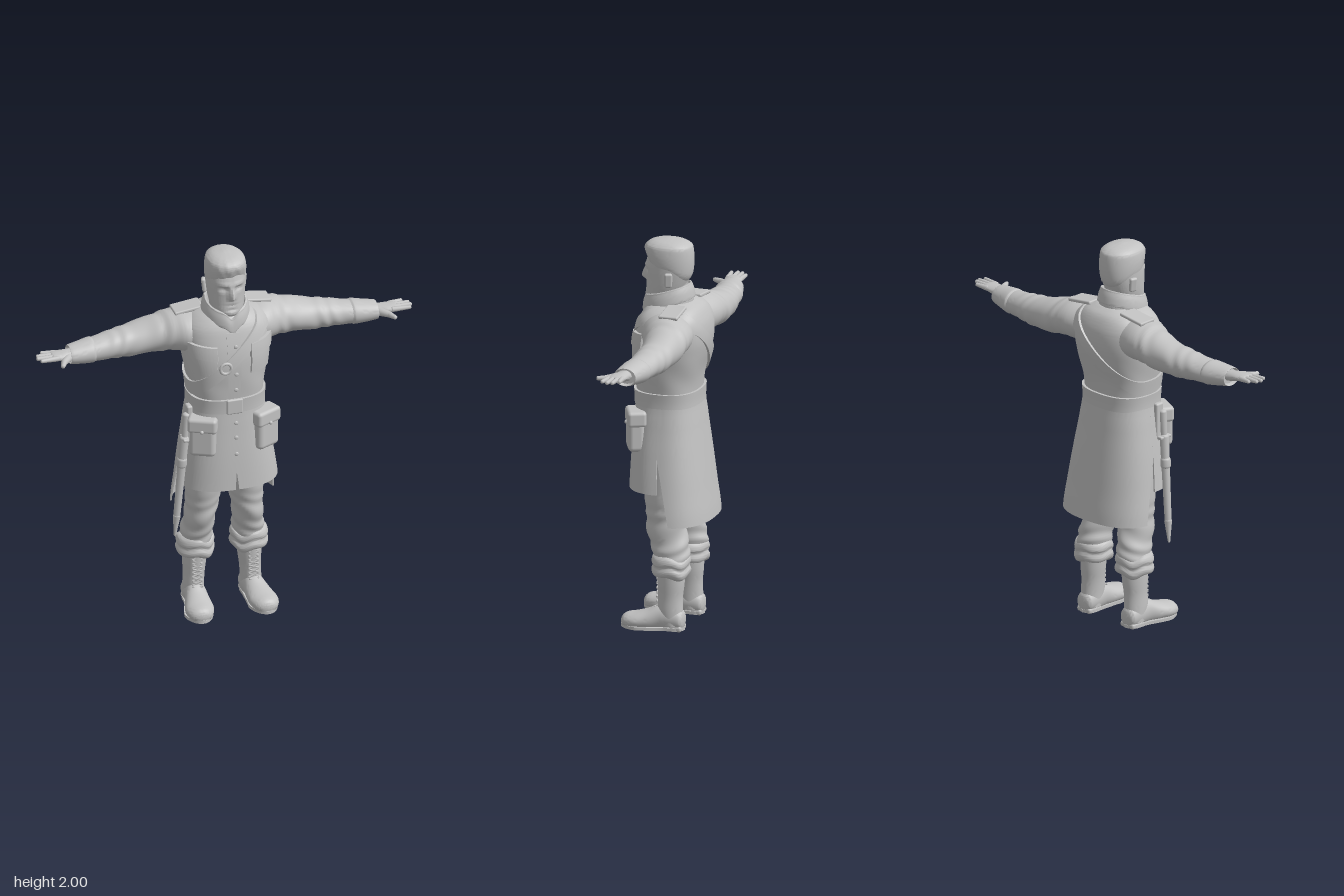
import * as THREE from 'three';
import { mergeVertices, toCreasedNormals } from 'three/addons/utils/BufferGeometryUtils.js';
import { RoundedBoxGeometry } from 'three/addons/geometries/RoundedBoxGeometry.js';

const V = (x, y, z) => new THREE.Vector3(x, y, z);
const pw = (c, p) => Math.sign(c) * Math.pow(Math.abs(c), p);
const bump = (d, w) => Math.exp(-(d / w) * (d / w));
const step = THREE.MathUtils.smoothstep;
const TAU = Math.PI * 2;

// Surface from a grid of points, welded, with sharp edges kept
function grid(nu, nv, fn, crease = 0.8) {
  const pos = [], idx = [];
  for (let j = 0; j <= nv; j++) for (let i = 0; i <= nu; i++) pos.push(...fn(i / nu, j, i).toArray());
  for (let j = 0; j < nv; j++) for (let i = 0; i < nu; i++) {
    const a = j * (nu + 1) + i, b = a + 1, c = a + nu + 1, d = c + 1;
    idx.push(a, b, d, a, d, c);
  }
  const g = new THREE.BufferGeometry();
  g.setAttribute('position', new THREE.Float32BufferAttribute(pos, 3));
  g.setIndex(idx);
  return toCreasedNormals(mergeVertices(g, 1e-5), crease);
}

// Smooth interpolation between cross-section rows
function rowAt(rows, s) {
  const last = rows.length - 1, i = Math.min(Math.floor(s), last - 1), u = s - i;
  const r = k => rows[Math.min(Math.max(k, 0), last)];
  return rows[0].map((_, k) => {
    const a = r(i - 1)[k], b = r(i)[k], c = r(i + 1)[k], d = r(i + 2)[k];
    return b + 0.5 * u * (c - a + u * (2 * a - 5 * b + 4 * c - d + u * (3 * (b - c) + d - a)));
  });
}

// Solid through rows [t, c1, c2, r1, r2] placed along an axis
function loft(axis, rows, { n = 36, k = 5, p = 1, fold, warp, cap = true } = {}) {
  const m = (rows.length - 1) * k, extra = cap ? 1 : 0;
  return grid(n, m + 2 * extra, (u, j) => {
    const q = j - extra, inside = q >= 0 && q <= m;
    const [t, c1, c2, r1, r2] = rowAt(rows, Math.min(Math.max(q, 0), m) / k);
    const a = u * TAU, f = inside ? (fold ? fold(t, a) : 1) : 0;
    const c = pw(Math.cos(a), p) * f, s = pw(Math.sin(a), p) * f;
    const v = axis === 'y' ? V(c1 + r1 * s, t, c2 + r2 * c)
      : axis === 'x' ? V(t, c1 + r1 * c, c2 + r2 * s) : V(c1 + r1 * c, c2 + r2 * s, t);
    if (warp) warp(v);
    return v;
  });
}

// Row from a height, centre, half width, front and back
const fb = (y, cx, rx, f, b) => [y, cx, (f + b) / 2, rx, (f - b) / 2];
const P = 0.8;

// Point on a body surface; angle 0 is the front, a quarter turn is +x
function surf(rows, a, y, off) {
  let i = 0;
  while (i < rows.length - 2 && y > rows[i + 1][0]) i++;
  const u = THREE.MathUtils.clamp((y - rows[i][0]) / (rows[i + 1][0] - rows[i][0]), 0, 1);
  const [, cx, cz, rx, rz] = rowAt(rows, i + u);
  return V(cx + (rx + off) * pw(Math.sin(a), P), y, cz + (rz + off) * pw(Math.cos(a), P));
}

// Thick cloth patch that follows a body surface
function band(rows, angle, yMid, h, off, { n = 24, m = 5, inner = -0.006, top = 9 } = {}) {
  const section = [];
  for (let j = 0; j <= m; j++) section.push([j / m * 2 - 1, off]);
  for (let j = m; j >= 0; j--) section.push([j / m * 2 - 1, inner]);
  section.push(section[0]);
  const at = typeof angle === 'function' ? angle : u => angle[0] + (angle[1] - angle[0]) * u;
  return grid(n + 2, section.length - 1, (_, j, i) => {
    const u = Math.min(Math.max(i - 1, 0), n) / n;
    const end = i === 0 || i === n + 2;
    const s = section[j], y = Math.min(yMid(u) + s[0] * h, top);
    return surf(rows, at(u, y), y, end ? inner : s[1]);
  }, 0.6);
}

// Round-ended tapered rod between two points
function rod(a, b, ra, rb, n = 12) {
  const len = a.distanceTo(b), pts = [];
  for (let i = 0; i <= 4; i++) pts.push(new THREE.Vector2(ra * Math.sin(i * Math.PI / 8), -ra * 0.7 * Math.cos(i * Math.PI / 8)));
  for (let i = 4; i >= 0; i--) pts.push(new THREE.Vector2(rb * Math.sin(i * Math.PI / 8), len + rb * 0.7 * Math.cos(i * Math.PI / 8)));
  const g = new THREE.LatheGeometry(pts, n);
  g.applyQuaternion(new THREE.Quaternion().setFromUnitVectors(V(0, 1, 0), b.clone().sub(a).normalize()));
  return g.translate(a.x, a.y, a.z);
}
const ball = (x, y, z, sx, sy, sz) => new THREE.SphereGeometry(1, 20, 14).scale(sx, sy, sz).translate(x, y, z);
const block = (w, h, d, x, y, z, ry = 0, rz = 0, r = 0.008) =>
  new RoundedBoxGeometry(w, h, d, 3, r).rotateZ(rz).rotateY(ry).translate(x, y, z);

// Copy reflected in x, with the corner order restored
function mirrored(g) {
  const m = g.index ? g.toNonIndexed() : g.clone();
  m.scale(-1, 1, 1);
  for (const at of Object.values(m.attributes)) {
    const s = at.itemSize, arr = at.array;
    for (let i = 0; i < arr.length; i += 3 * s) for (let k = 0; k < s; k++)
      [arr[i + s + k], arr[i + 2 * s + k]] = [arr[i + 2 * s + k], arr[i + s + k]];
  }
  return m;
}

export function createModel() {
  const model = new THREE.Group();
  const grey = new THREE.MeshStandardMaterial({ color: 0xc2c2c2 });
  grey.name = 'plain grey';
  const add = (name, g) => { const m = new THREE.Mesh(g, grey); m.name = name; model.add(m); };
  const pair = (name, g) => { add(name + 'Left', g); add(name + 'Right', mirrored(g)); };

  // Head with sculpted face
  add('head', loft('y', [fb(1.672, 0, 0.035, 0.12, 0.04), fb(1.685, 0, 0.062, 0.143, 0.0), fb(1.71, 0, 0.08, 0.15, -0.03),
    fb(1.75, 0, 0.09, 0.147, -0.055), fb(1.80, 0, 0.096, 0.146, -0.075), fb(1.85, 0, 0.099, 0.149, -0.09),
    fb(1.90, 0, 0.099, 0.14, -0.095), fb(1.95, 0, 0.09, 0.12, -0.085), fb(1.985, 0, 0.05, 0.07, -0.04)], {
    n: 96, k: 9, p: 0.94, warp: v => {
      if (v.z < 0.06) return;
      const x = Math.abs(v.x), y = v.y;
      v.z -= 0.014 * bump(x - 0.038, 0.022) * bump(y - 1.836, 0.014);
      v.z += 0.03 * bump(x, 0.015) * step(y, 1.768, 1.788) * (1 - step(y, 1.79, 1.87));
      v.z -= 0.006 * bump(y - 1.743, 0.005) * bump(x, 0.03);
      v.z += 0.005 * bump(x, 0.03) * bump(y - 1.70, 0.015) - 0.006 * bump(y - 1.722, 0.008) * bump(x, 0.03);
      v.z += 0.006 * bump(y - 1.862, 0.012) * bump(x - 0.035, 0.035);
    } }));
  add('neck', loft('y', [[1.6, 0, 0, 0.085, 0.085], [1.7, 0, 0.015, 0.075, 0.078], [1.8, 0, 0.0, 0.07, 0.07]]));
  // Short hair swept up at the front, low at the nape
  add('hair', loft('y', [fb(1.9, 0, 0.096, 0.136, -0.066), fb(1.918, 0, 0.102, 0.146, -0.09), fb(1.945, 0, 0.102, 0.154, -0.097),
    fb(1.97, 0, 0.092, 0.145, -0.086), fb(1.99, 0, 0.062, 0.108, -0.05), fb(2.0, 0, 0.012, 0.045, 0.01)], {
    n: 72, k: 7, p: 0.95,
    fold: (y, a) => 1 + 0.012 * Math.sin(a * 14 + y * 60) * Math.max(0, Math.cos(a)),
    warp: v => {
      const low = THREE.MathUtils.clamp((1.965 - v.y) / 0.065, 0, 1);
      v.y += low * (0.012 * bump(v.x - 0.04, 0.03) * step(v.z, 0.08, 0.12) - 0.55 * (0.15 - v.z) * (1 - 0.25 * bump(v.z - 0.01, 0.05)));
    } }));
  pair('ear', block(0.022, 0.075, 0.04, 0.102, 1.808, 0.0, 0.35, -0.12, 0.01));
  pair('eye', ball(0.038, 1.836, 0.117, 0.014, 0.007, 0.011));

  // Coat body
  const torso = [fb(1.13, 0, 0.185, 0.178, -0.13), fb(1.2, 0, 0.185, 0.18, -0.13), fb(1.3, 0, 0.196, 0.188, -0.14),
    fb(1.42, 0, 0.213, 0.195, -0.17), fb(1.5, 0, 0.222, 0.188, -0.183), fb(1.57, 0, 0.222, 0.172, -0.18),
    fb(1.62, 0, 0.205, 0.155, -0.165), fb(1.66, 0, 0.16, 0.13, -0.14), fb(1.685, 0, 0.1, 0.1, -0.1)];
  add('coatBody', loft('y', torso, { n: 64, k: 7, p: P, fold: (y, a) => 1 + 0.01 * Math.sin(5 * a + y * 24) * bump(y - 1.33, 0.09) }));

  // Coat skirt: two front panels and a longer back panel, parted by slits
  const skirt = [fb(0.57, 0.012, 0.268, 0.205, -0.21), fb(0.73, 0.01, 0.25, 0.2, -0.19), fb(0.9, 0.005, 0.228, 0.194, -0.168),
    fb(1.1, 0, 0.199, 0.183, -0.142), fb(1.2, 0, 0.186, 0.178, -0.13)];
  const cloth = { n: 40, m: 18, inner: 0 };
  const drop = (y, from, low) => Math.max(0, (from - y) / (from - low));
  const side = Math.PI / 2;
  for (const s of [0, 1]) add(s ? 'skirtFrontRight' : 'skirtFrontLeft', band(skirt, (u, y) => {
    const slit = 0.016 * drop(y, 0.82, 0.73);
    return s ? -side + (side - slit) * u : slit + (side - slit) * u;
  }, () => 0.962, 0.232, 0.008, cloth));
  add('skirtBack', band(skirt, (u, y) => {
    const g = 0.2 * drop(y, 0.9, 0.57);
    return side + g + (Math.PI - 2 * g) * u;
  }, () => 0.882, 0.312, 0.008, { ...cloth, n: 56 }));

  // Belt, buckle, placket and buttons
  add('belt', band(torso, [0, TAU], () => 1.197, 0.038, 0.013, { n: 72 }));
  add('beltBuckle', block(0.085, 0.082, 0.016, 0, 1.197, 0.193));
  add('placket', band(torso, [-0.1, 0.1], () => 1.42, 0.18, 0.005, { n: 6, m: 14 }));
  [1.53, 1.38, 1.29].forEach(y => add('coatButton', ball(0.008, y, surf(torso, 0, y, 0.006).z, 0.011, 0.011, 0.005)));
  [1.1, 1.02, 0.93].forEach(y => add('skirtButton', ball(0.008, y, surf(skirt, 0, y, 0.009).z, 0.011, 0.011, 0.005)));

  // Shoulder strap looping from the left shoulder to the right hip
  const strapY = u => {
    let y = 1.46;
    for (let i = 0; i < 30; i++) y += 0.4 * (1.46 + 0.944 * surf(torso, u * TAU, y, 0).x - y);
    return y;
  };
  add('shoulderStrap', band(torso, [0, TAU], strapY, 0.038, 0.011, { n: 96, top: 1.682 }));
  add('strapBuckle', new THREE.TorusGeometry(0.028, 0.008, 8, 24).translate(-0.05, 1.425, 0.207));

  // Chest pockets and flaps
  pair('chestPocket', band(torso, [0.33, 1.1], () => 1.445, 0.07, 0.009));
  pair('chestFlap', band(torso, [0.3, 1.12], u => 1.5 + 0.014 * u, 0.035, 0.015));
  pair('pocketButton', ball(0.143, 1.487, surf(torso, 0.7, 1.487, 0.014).z, 0.009, 0.009, 0.008));

  // Belt pouches
  for (const [name, x, turn] of [['Left', 0.168, 0.45], ['Right', -0.152, -0.45]]) {
    add('pouch' + name, block(0.135, 0.18, 0.085, x, 1.02, 0.15, turn, 0, 0.025));
    add('pouchFlap' + name, block(0.15, 0.08, 0.096, x, 1.102, 0.148, turn, 0, 0.018));
    add('pouchStud' + name, ball(x + 0.02 * Math.sign(x), 1.075, 0.192, 0.01, 0.01, 0.01));
  }

  // Collar, higher at the back, with a turned-down layer
  const tilt = v => { v.y -= 0.3 * (v.z - 0.03) + (v.z > 0.05 ? 0.035 * bump(v.x, 0.025) : 0); };
  add('collar', loft('y', [[1.625, 0, 0.02, 0.102, 0.105], [1.645, 0, 0.025, 0.112, 0.12], [1.69, 0, 0.03, 0.108, 0.12],
    [1.735, 0, 0.035, 0.107, 0.12], [1.742, 0, 0.035, 0.102, 0.115], [1.732, 0, 0.035, 0.094, 0.106], [1.64, 0, 0.03, 0.085, 0.09]],
  { n: 56, k: 4, cap: false, warp: tilt }));
  add('collarFold', loft('y', [[1.672, 0, 0.03, 0.106, 0.117], [1.664, 0, 0.03, 0.118, 0.13], [1.672, 0, 0.032, 0.122, 0.133],
    [1.71, 0, 0.034, 0.116, 0.128], [1.74, 0, 0.035, 0.105, 0.118]], { n: 56, k: 4, cap: false, warp: tilt }));

  // Sleeves, cuffs and shoulder tabs
  pair('sleeve', loft('x', [[0.1, 1.55, -0.015, 0.1, 0.12], [0.2, 1.556, -0.03, 0.106, 0.135], [0.26, 1.556, -0.045, 0.1, 0.124],
    [0.32, 1.545, -0.058, 0.093, 0.11], [0.4, 1.53, -0.065, 0.086, 0.098], [0.5, 1.52, -0.06, 0.077, 0.088],
    [0.6, 1.515, -0.05, 0.066, 0.078], [0.7, 1.51, -0.035, 0.056, 0.069], [0.78, 1.51, -0.022, 0.047, 0.058]], {
    n: 40, k: 9, fold: (x, a) => 1 + 0.03 * Math.sin(x * 62 + 3 * Math.sin(a + 1) + 2 * Math.sin(x * 23)) * step(x, 0.22, 0.34) * (1 - 0.6 * step(x, 0.5, 0.7)) }));
  pair('cuff', loft('x', [[0.67, 1.511, -0.04, 0.058, 0.071], [0.685, 1.511, -0.038, 0.063, 0.076], [0.74, 1.511, -0.028, 0.056, 0.069],
    [0.795, 1.512, -0.02, 0.048, 0.06], [0.802, 1.512, -0.02, 0.044, 0.056], [0.785, 1.512, -0.02, 0.038, 0.05]]));
  pair('shoulderTab', block(0.15, 0.018, 0.1, 0.178, 1.668, -0.05, 0, -0.13, 0.007));

  // Hands
  pair('palm', loft('x', [[0.76, 1.513, -0.018, 0.03, 0.036], [0.81, 1.518, -0.01, 0.026, 0.038], [0.85, 1.523, -0.002, 0.021, 0.045],
    [0.89, 1.527, 0.0, 0.015, 0.045], [0.902, 1.527, 0, 0.009, 0.038]], { n: 24 }));
  [[0.033, 0.962, 0.044], [0.011, 0.975, 0.014], [-0.011, 0.969, -0.012], [-0.031, 0.94, -0.04]].forEach(([z, tx, tz], i) =>
    pair('finger' + (i + 1), rod(V(0.875, 1.526, z), V(tx, 1.53, tz), 0.0145, 0.0095)));
  pair('thumb', rod(V(0.81, 1.514, 0.012), V(0.85, 1.514, 0.06), 0.023, 0.016));
  pair('thumbTip', rod(V(0.85, 1.514, 0.06), V(0.868, 1.515, 0.1), 0.016, 0.011));

  // Trousers with rolled ends
  pair('trouserLeg', loft('y', [[0.3, 0.14, -0.03, 0.085, 0.083], [0.4, 0.135, -0.028, 0.08, 0.095], [0.5, 0.125, -0.003, 0.076, 0.102],
    [0.6, 0.115, 0.008, 0.084, 0.1], [0.7, 0.108, 0.01, 0.094, 0.11], [0.85, 0.1, 0, 0.1, 0.125], [1.05, 0.095, 0, 0.095, 0.125]], {
    k: 9, fold: (y, a) => 1 + 0.045 * Math.sin(y * 72 + 3 * Math.sin(a + 0.6) + Math.sin(y * 31)) * (1 - step(y, 0.5, 0.72)) }));
  pair('trouserRoll', loft('y', [[0.275, 0.14, -0.03, 0.066, 0.07], [0.285, 0.14, -0.03, 0.09, 0.092], [0.31, 0.14, -0.03, 0.099, 0.1],
    [0.332, 0.14, -0.03, 0.091, 0.092], [0.352, 0.14, -0.03, 0.098, 0.099], [0.375, 0.14, -0.03, 0.09, 0.094], [0.385, 0.14, -0.03, 0.07, 0.08]], {
    warp: v => { v.y += 0.01 * Math.sin(v.x * 40 + v.z * 30); } }));

  // Boots
  pair('bootShaft', loft('y', [[0.03, 0.15, -0.04, 0.052, 0.058], [0.1, 0.15, -0.028, 0.053, 0.066], [0.17, 0.147, -0.028, 0.054, 0.064],
    [0.24, 0.144, -0.03, 0.06, 0.069], [0.31, 0.142, -0.03, 0.064, 0.072]]));
  pair('bootFoot', loft('z', [[-0.103, 0.15, 0.055, 0.02, 0.025], [-0.09, 0.15, 0.055, 0.046, 0.05], [-0.04, 0.15, 0.06, 0.053, 0.065],
    [0.02, 0.152, 0.065, 0.055, 0.068], [0.08, 0.16, 0.05, 0.066, 0.055], [0.14, 0.167, 0.042, 0.074, 0.044],
    [0.19, 0.17, 0.038, 0.06, 0.038], [0.213, 0.17, 0.034, 0.036, 0.026], [0.22, 0.17, 0.032, 0.01, 0.01]], {
    warp: v => { v.y = Math.max(v.y, 0.012); } }));
  const outline = new THREE.Shape();
  outline.moveTo(0.15, -0.105);
  outline.splineThru([[0.194, -0.08], [0.204, 0], [0.23, 0.08], [0.24, 0.14], [0.213, 0.2], [0.17, 0.223], [0.126, 0.2],
    [0.096, 0.14], [0.098, 0.08], [0.102, 0], [0.106, -0.08], [0.15, -0.105]].map(p => new THREE.Vector2(...p)));
  pair('bootSole', new THREE.ExtrudeGeometry(outline, { depth: 0.016, bevelEnabled: false, curveSegments: 40 })
    .rotateX(Math.PI / 2).translate(0, 0.02, 0));
  pair('bootHeel', block(0.092, 0.03, 0.09, 0.15, 0.015, -0.054, 0, 0, 0.012));
  for (let i = 0; i < 8; i++) {
    const y = 0.1 + i * 0.024, z = 0.034 + (i < 1 ? 0.012 : 0);
    for (const s of [-1, 1]) pair('bootLace', rod(V(0.147 - 0.024 * s, y, z), V(0.147 + 0.024 * s, y + 0.02, z), 0.0055, 0.0055, 6));
  }

  // Sheathed blade on the right hip
  add('bladeGrip', rod(V(-0.222, 1.13, 0.09), V(-0.23, 1.01, 0.09), 0.02, 0.016));
  add('bladeGuard', block(0.03, 0.016, 0.075, -0.231, 1.0, 0.09, 0, 0, 0.006));
  add('scabbard', rod(V(-0.232, 1.0, 0.09), V(-0.268, 0.56, 0.08), 0.024, 0.018));
  add('scabbardTip', rod(V(-0.268, 0.56, 0.08), V(-0.277, 0.45, 0.077), 0.02, 0.006));
  add('scabbardBand', rod(V(-0.243, 0.88, 0.087), V(-0.245, 0.85, 0.086), 0.027, 0.027));
  add('scabbardHanger', block(0.03, 0.2, 0.05, -0.205, 1.08, 0.075, 0, 0, 0.01));
  return model;
}
